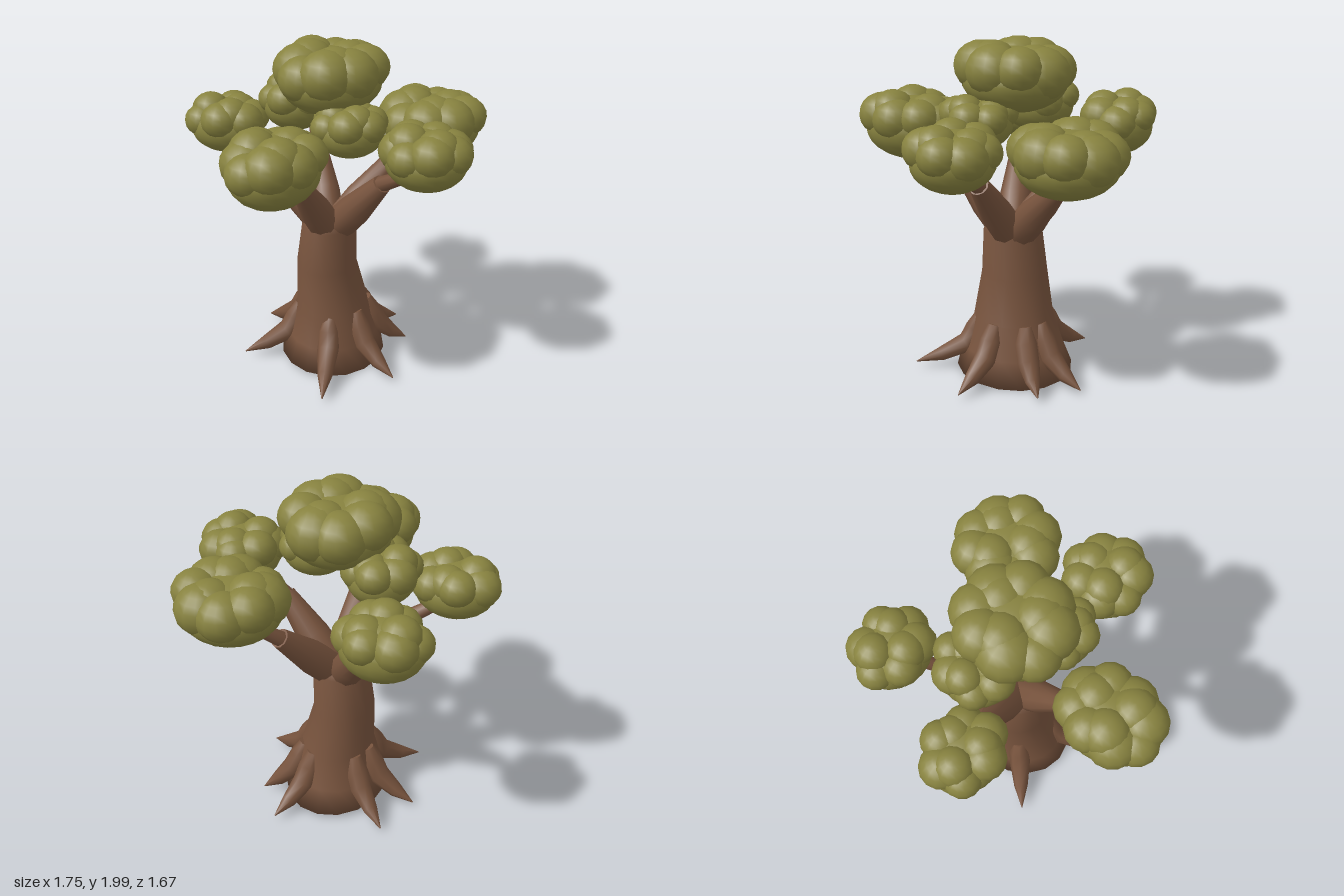
import * as THREE from 'three';
import { mergeVertices } from 'three/addons/utils/BufferGeometryUtils.js';

const bark = new THREE.MeshStandardMaterial({ color: 0x77533d });
bark.name = 'bark brown';
const leaf = new THREE.MeshStandardMaterial({ color: 0x87823f });
leaf.name = 'leaf olive';

const V = (x, y, z) => new THREE.Vector3(x, y, z);

function mesh(name, geometry, material, parent) {
  const m = new THREE.Mesh(geometry, material);
  m.name = name;
  parent.add(m);
  return m;
}

// Closed round limb: rings of given radii across a path, with end caps
function limb(points, radii, sides = 10) {
  const pos = [], idx = [], n = points.length;
  const ring = (i) => {
    const first = pos.length / 3;
    const t = points[Math.min(i + 1, n - 1)].clone().sub(points[Math.max(i - 1, 0)]).normalize();
    const side = V(0, 1, 0).cross(t).normalize();
    const up = t.clone().cross(side);
    for (let k = 0; k < sides; k++) {
      const a = (k / sides) * Math.PI * 2;
      const p = points[i].clone()
        .addScaledVector(side, Math.cos(a) * radii[i])
        .addScaledVector(up, Math.sin(a) * radii[i]);
      pos.push(p.x, p.y, p.z);
    }
    return first;
  };
  for (let i = 0; i < n; i++) ring(i);
  for (let i = 0; i < n - 1; i++) {
    for (let k = 0; k < sides; k++) {
      const a = i * sides + k, b = i * sides + ((k + 1) % sides);
      idx.push(a, b, b + sides, a, b + sides, a + sides);
    }
  }
  for (const end of [0, n - 1]) {
    const r = ring(end), c = pos.length / 3;
    pos.push(points[end].x, points[end].y, points[end].z);
    for (let k = 0; k < sides; k++) {
      const a = r + k, b = r + ((k + 1) % sides);
      if (end === 0) idx.push(c, b, a);
      else idx.push(c, a, b);
    }
  }
  const g = new THREE.BufferGeometry();
  g.setAttribute('position', new THREE.Float32BufferAttribute(pos, 3));
  g.setIndex(idx);
  g.computeVertexNormals();
  return g;
}

// Flared trunk: lathe bent along a crooked axis, with a slightly tilted foot
function trunkGeometry() {
  const profile = [[0, 0.03], [0.315, 0.028], [0.27, 0.17], [0.218, 0.36],
    [0.18, 0.63], [0.16, 0.9], [0.1, 0.96], [0, 0.98]];
  let g = new THREE.LatheGeometry(profile.map(([r, y]) => new THREE.Vector2(r, y)), 16);
  const p = g.attributes.position;
  for (let i = 0; i < p.count; i++) {
    const x = p.getX(i), y = p.getY(i), z = p.getZ(i);
    const bend = y < 0.63
      ? -0.04 * THREE.MathUtils.smoothstep(y, 0.3, 0.63)
      : -0.04 + 0.02 * THREE.MathUtils.smoothstep(y, 0.63, 0.92);
    const tilt = -0.065 * x * Math.max(0, 1 - y / 0.3);
    p.setXYZ(i, x + bend, y + tilt, z * (1.13 - 0.05 * y) - 0.12 + 0.025 * y);
  }
  g.deleteAttribute('uv');
  g.deleteAttribute('normal');
  g = mergeVertices(g, 1e-5);
  g.computeVertexNormals();
  return g;
}

// Root: starts on the trunk and flares out to a pointed tip
function root(x, z) {
  const c = V(-0.005, 0, -0.12);
  const d = V(x, 0, z).sub(c);
  const reach = d.length();
  d.normalize();
  const at = (r, y) => c.clone().addScaledVector(d, r).setY(y);
  return limb(
    [at(0.2, 0.36), at(0.235, 0.27), at(0.29, 0.17), at(0.29 + (reach - 0.29) * 0.5, 0.095), at(reach, 0.045)],
    [0.042, 0.066, 0.066, 0.045, 0.003], 8);
}

// Leaf clump filling a box: a smooth flattened body with round bumps over its top
function clump(name, [x0, x1], [y0, y1], [z0, z1], ringCount, spin, parent) {
  const g = new THREE.Group();
  g.name = name;
  const w = x1 - x0, h = y1 - y0, d = z1 - z0, size = (w + d) / 2;
  const cx = (x0 + x1) / 2, cz = (z0 + z1) / 2;
  const body = mesh('leafBody', new THREE.SphereGeometry(1, 20, 14), leaf, g);
  body.position.set(cx, y0 + h * 0.45, cz);
  body.scale.set(w * 0.45, h * 0.45, d * 0.45);
  const bump = (x, y, z, r) => {
    const b = mesh('leafBump', new THREE.SphereGeometry(r, 14, 10), leaf, g);
    b.position.set(x, y, z);
    b.scale.y = 0.9;
  };
  for (let i = 0; i < ringCount; i++) {
    const a = spin + (i / ringCount) * Math.PI * 2;
    const r = size * (0.235 + 0.02 * Math.sin(i * 2.4 + spin));
    bump(cx + Math.cos(a) * (w / 2 + 0.008 - r), y0 + h * (0.6 + 0.05 * Math.sin(i * 1.9 + spin)),
      cz + Math.sin(a) * (d / 2 + 0.008 - r), r);
  }
  for (let i = 0; i < 3; i++) {
    const a = spin + 0.5 + (i / 3) * Math.PI * 2;
    const r = size * 0.23;
    bump(cx + Math.cos(a) * w * 0.2, y1 - r * 0.9 - (i === 2 ? 0.02 : 0), cz + Math.sin(a) * d * 0.2, r);
  }
  parent.add(g);
}

export function createModel() {
  const tree = new THREE.Group();
  tree.name = 'tree';

  mesh('trunk', trunkGeometry(), bark, tree);

  // Root tips (x, z)
  const tips = [[0.22, 0.44], [0.5, 0.06], [0.39, -0.38], [0.23, -0.59],
    [-0.4, -0.47], [-0.52, -0.2], [-0.43, 0.25]];
  for (const [x, z] of tips) mesh('root', root(x, z), bark, tree);

  // Branches: a thick lower limb with a thinner one growing from its end
  const branches = [
    [V(-0.06, 0.9, -0.09), V(-0.37, 1.25, -0.02), V(-0.57, 1.38, 0.04)],
    [V(0.04, 0.9, -0.09), V(0.35, 1.26, -0.02), V(0.54, 1.37, 0.02)],
    [V(-0.02, 0.9, -0.05), V(-0.02, 1.25, 0.23), V(-0.02, 1.38, 0.42)],
    [V(-0.06, 0.9, -0.15), V(-0.25, 1.23, -0.39), V(-0.37, 1.36, -0.54)],
    [V(0.03, 0.9, -0.15), V(0.22, 1.23, -0.41), V(0.36, 1.36, -0.52)],
  ];
  for (const [a, b, c] of branches) {
    mesh('lowerBranch', limb([a, a.clone().lerp(b, 0.4), b], [0.1, 0.097, 0.056]), bark, tree);
    mesh('upperBranch', limb([a.clone().lerp(b, 0.85), b, c], [0.045, 0.046, 0.034], 8), bark, tree);
  }

  // Crown
  clump('rightLeaves', [-0.87, -0.37], [1.31, 1.65], [-0.18, 0.27], 6, 0.3, tree);
  clump('leftLeaves', [0.37, 0.87], [1.31, 1.67], [-0.23, 0.27], 7, 0.1, tree);
  clump('frontLeaves', [-0.27, 0.25], [1.28, 1.69], [0.21, 0.83], 8, 0.25, tree);
  clump('backRightLeaves', [-0.67, -0.17], [1.3, 1.67], [-0.84, -0.39], 6, 0.9, tree);
  clump('backLeftLeaves', [0.12, 0.74], [1.28, 1.67], [-0.83, -0.22], 8, 0.6, tree);
  clump('topLeaves', [-0.33, 0.3], [1.6, 2.0], [-0.44, 0.23], 8, 0.4, tree);
  clump('innerRightLeaves', [-0.48, -0.06], [1.44, 1.77], [-0.4, 0.07], 6, 0.5, tree);
  clump('innerLeftLeaves', [-0.04, 0.39], [1.42, 1.73], [-0.17, 0.25], 6, 0.2, tree);

  return tree;
}
